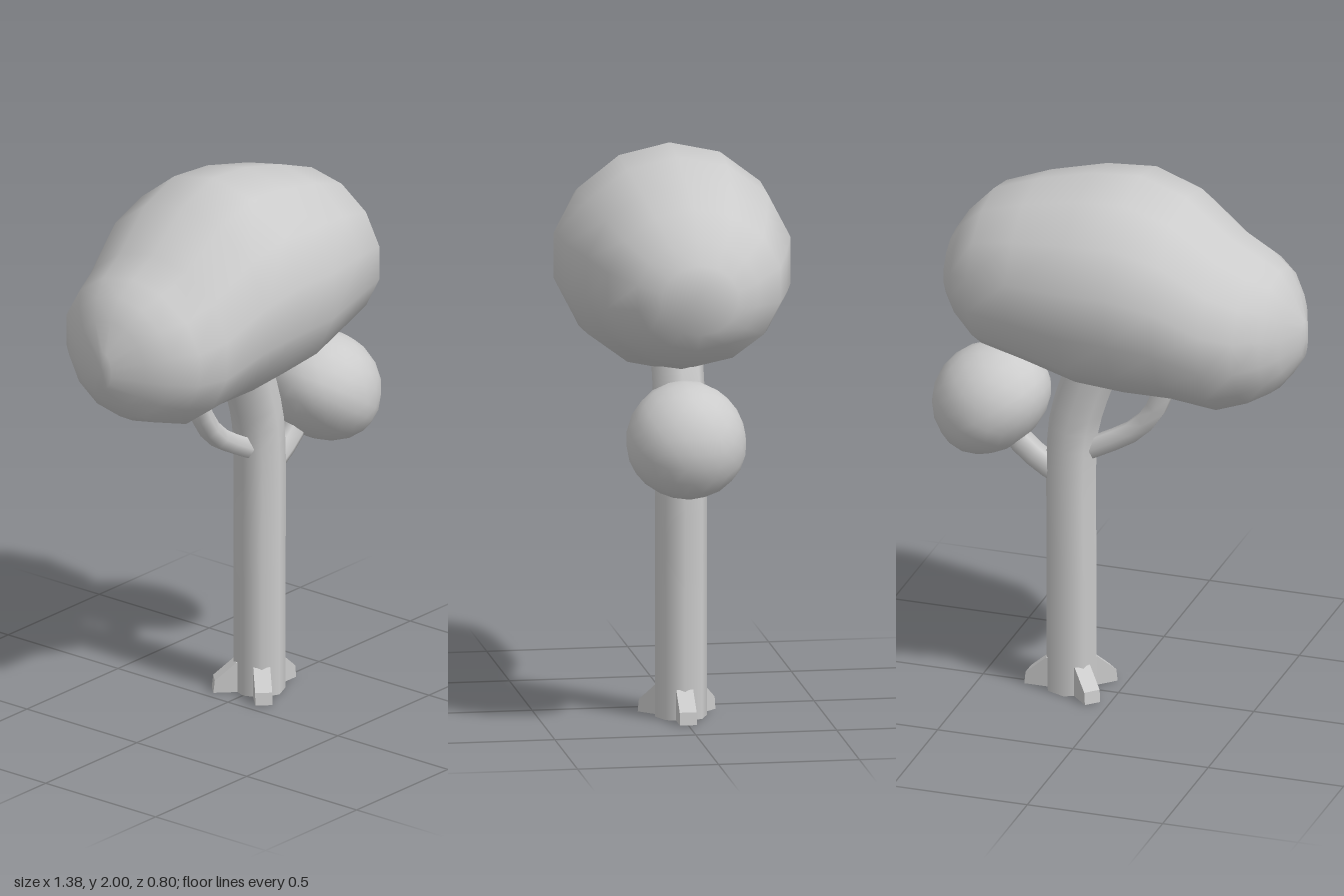
import * as THREE from 'three';
import { mergeVertices } from 'three/addons/utils/BufferGeometryUtils.js';

const material = new THREE.MeshStandardMaterial({ color: 0xcccccc });

function addMesh(parent, name, geometry) {
  const mesh = new THREE.Mesh(geometry, material);
  mesh.name = name;
  parent.add(mesh);
  return mesh;
}

// Skin over elliptical sections along x: [x, lowest y, highest y, half depth]
function loftAlongX(sections, sides) {
  const positions = [], index = [];
  for (const [x, low, high, depth] of sections) {
    for (let i = 0; i < sides; i++) {
      const a = (i / sides) * Math.PI * 2;
      positions.push(x, (low + high) / 2 + Math.cos(a) * (high - low) / 2, Math.sin(a) * depth);
    }
  }
  for (let s = 0; s < sections.length - 1; s++) {
    for (let i = 0; i < sides; i++) {
      const a = s * sides + i, b = s * sides + (i + 1) % sides;
      index.push(a, b, a + sides, b, b + sides, a + sides);
    }
  }
  const geometry = new THREE.BufferGeometry();
  geometry.setAttribute('position', new THREE.Float32BufferAttribute(positions, 3));
  geometry.setIndex(index);
  const welded = mergeVertices(geometry);
  welded.computeVertexNormals();
  return welded;
}

// Round limb through points in the z = 0 plane
function limb(points, radius, segments, sides) {
  const curve = new THREE.CatmullRomCurve3(points.map(([x, y, z = 0]) => new THREE.Vector3(x, y, z)));
  return new THREE.TubeGeometry(curve, segments, radius, sides);
}

export function createModel() {
  const tree = new THREE.Group();
  tree.name = 'tree';
  const trunkX = 0.173;

  // Trunk, straight below and leaning left into the crown
  addMesh(tree, 'trunk', limb([[trunkX, 0], [trunkX, 0.45], [trunkX, 0.9], [0.163, 1.02],
    [0.13, 1.14], [0.08, 1.28]], 0.092, 18, 8));
  const base = addMesh(tree, 'trunkBase', new THREE.CircleGeometry(0.092, 8));
  base.rotation.x = Math.PI / 2;
  base.position.set(trunkX, 0.001, 0);

  // Side branches
  addMesh(tree, 'crownBranch', limb([[0.14, 0.91], [0.06, 0.95], [-0.06, 1.02], [-0.13, 1.1],
    [-0.19, 1.25]], 0.04, 7, 6));
  addMesh(tree, 'lowerBranch', limb([[0.2, 0.81], [0.28, 0.855], [0.36, 0.92], [0.43, 1.02]], 0.045, 5, 6));

  // Three root flares around the foot
  const profile = new THREE.Shape([[0.04, 0], [0.165, 0], [0.16, 0.045], [0.085, 0.11], [0.04, 0.11]]
    .map(([x, y]) => new THREE.Vector2(x, y)));
  const rootGeometry = new THREE.ExtrudeGeometry(profile, { depth: 0.06, bevelEnabled: false });
  rootGeometry.translate(0, 0, -0.03);
  for (const degrees of [0, 135, 225]) {
    const root = addMesh(tree, 'root', rootGeometry);
    root.position.x = trunkX;
    root.rotation.y = THREE.MathUtils.degToRad(degrees);
  }

  // Main crown, high on the right and drooping to the left
  addMesh(tree, 'crown', loftAlongX([
    [-0.692, 1.46, 1.46, 0],
    [-0.688, 1.39, 1.53, 0.04],
    [-0.645, 1.32, 1.63, 0.16],
    [-0.595, 1.26, 1.705, 0.235],
    [-0.52, 1.22, 1.75, 0.31],
    [-0.41, 1.18, 1.81, 0.345],
    [-0.25, 1.205, 1.94, 0.393],
    [-0.08, 1.205, 2.0, 0.412],
    [0.1, 1.22, 1.985, 0.41],
    [0.3, 1.275, 1.935, 0.365],
    [0.46, 1.31, 1.875, 0.315],
    [0.55, 1.385, 1.78, 0.22],
    [0.6, 1.45, 1.7, 0.14],
    [0.633, 1.61, 1.61, 0],
  ], 14));

  // Small leaf ball, flattened on its lower left and bulging to the upper left
  const ball = mergeVertices(new THREE.IcosahedronGeometry(0.212, 3).deleteAttribute('uv').deleteAttribute('normal'), 1e-4);
  const p = ball.attributes.position;
  const lowerLeft = new THREE.Vector3(-0.65, -0.76, 0), upperLeft = new THREE.Vector3(-0.8, 0.6, 0);
  const v = new THREE.Vector3();
  for (let i = 0; i < p.count; i++) {
    v.fromBufferAttribute(p, i);
    const down = Math.max(0, v.dot(lowerLeft)), up = Math.max(0, v.dot(upperLeft));
    v.addScaledVector(lowerLeft, -0.2 * down).addScaledVector(upperLeft, 0.08 * up);
    p.setXYZ(i, v.x, v.y, v.z);
  }
  ball.computeVertexNormals();
  addMesh(tree, 'smallFoliage', ball).position.set(0.476, 1.04, 0.03);

  return tree;
}
